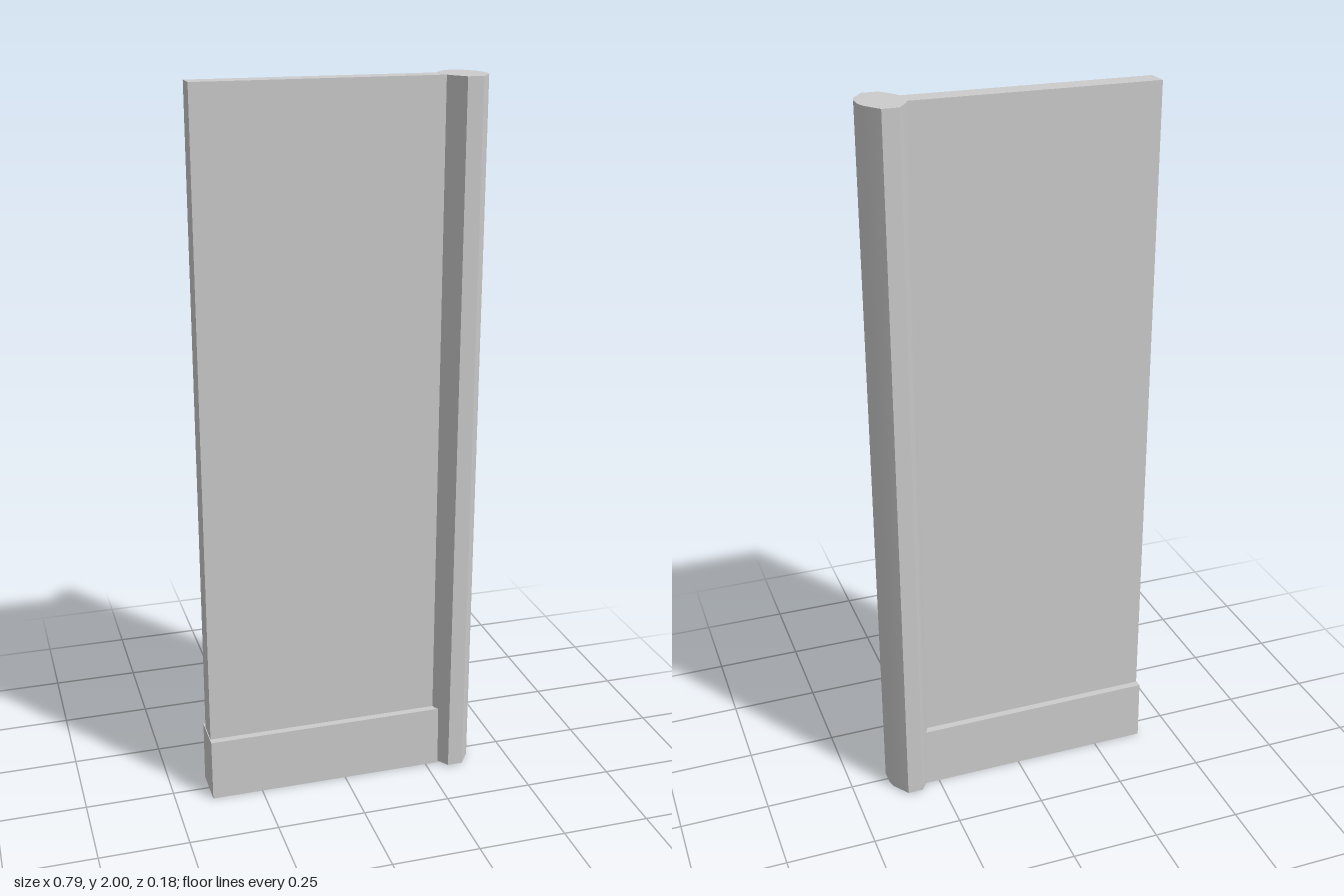
import * as THREE from 'three';
import { mergeGeometries, toCreasedNormals } from 'three/addons/utils/BufferGeometryUtils.js';

const material = new THREE.MeshStandardMaterial({ color: 0xcccccc, side: THREE.DoubleSide });

// Box between x0..x1 and y0..y1 whose half depth changes from bottom to top
function taperedSlab(name, x0, x1, y0, y1, halfBottom, halfTop) {
  const shape = new THREE.Shape([
    new THREE.Vector2(-halfBottom, y0), new THREE.Vector2(halfBottom, y0),
    new THREE.Vector2(halfTop, y1), new THREE.Vector2(-halfTop, y1),
  ]);
  const geometry = new THREE.ExtrudeGeometry(shape, { depth: x1 - x0, bevelEnabled: false });
  geometry.rotateY(Math.PI / 2).translate(x0, 0, 0);
  const mesh = new THREE.Mesh(geometry, material);
  mesh.name = name;
  return mesh;
}

// Upright post: prism with two flat faces and two rounded sides, open underneath
function post(name, cx, y0, y1) {
  const quarter = [[0.06, 0.02], [0.053, 0.045], [0.022, 0.09]];
  const mirrored = [...quarter].reverse();
  const ring = [
    ...quarter,
    ...mirrored.map(([x, z]) => [-x, z]),
    ...quarter.map(([x, z]) => [-x, -z]),
    ...mirrored.map(([x, z]) => [x, -z]),
  ].map(([x, z]) => new THREE.Vector2(cx + x, z));

  const positions = [];
  ring.forEach((a, i) => {
    const b = ring[(i + 1) % ring.length];
    positions.push(a.x, y0, -a.y, b.x, y0, -b.y, b.x, y1, -b.y);
    positions.push(a.x, y0, -a.y, b.x, y1, -b.y, a.x, y1, -a.y);
  });
  const walls = new THREE.BufferGeometry();
  walls.setAttribute('position', new THREE.Float32BufferAttribute(positions, 3));
  walls.computeVertexNormals();

  const cap = new THREE.ShapeGeometry(new THREE.Shape(ring)).toNonIndexed();
  cap.rotateX(-Math.PI / 2).translate(0, y1, 0);
  cap.deleteAttribute('uv');

  const mesh = new THREE.Mesh(toCreasedNormals(mergeGeometries([walls, cap]), 0.6), material);
  mesh.name = name;
  return mesh;
}

export function createModel() {
  const group = new THREE.Group();
  group.name = 'wallSection';
  group.add(
    taperedSlab('wallPanel', -0.393, 0.33, 0.02, 2, 0.036, 0.031),
    taperedSlab('baseboard', -0.395, 0.33, 0, 0.18, 0.059, 0.056),
    post('endPost', 0.332, 0.005, 2),
  );
  return group;
}
